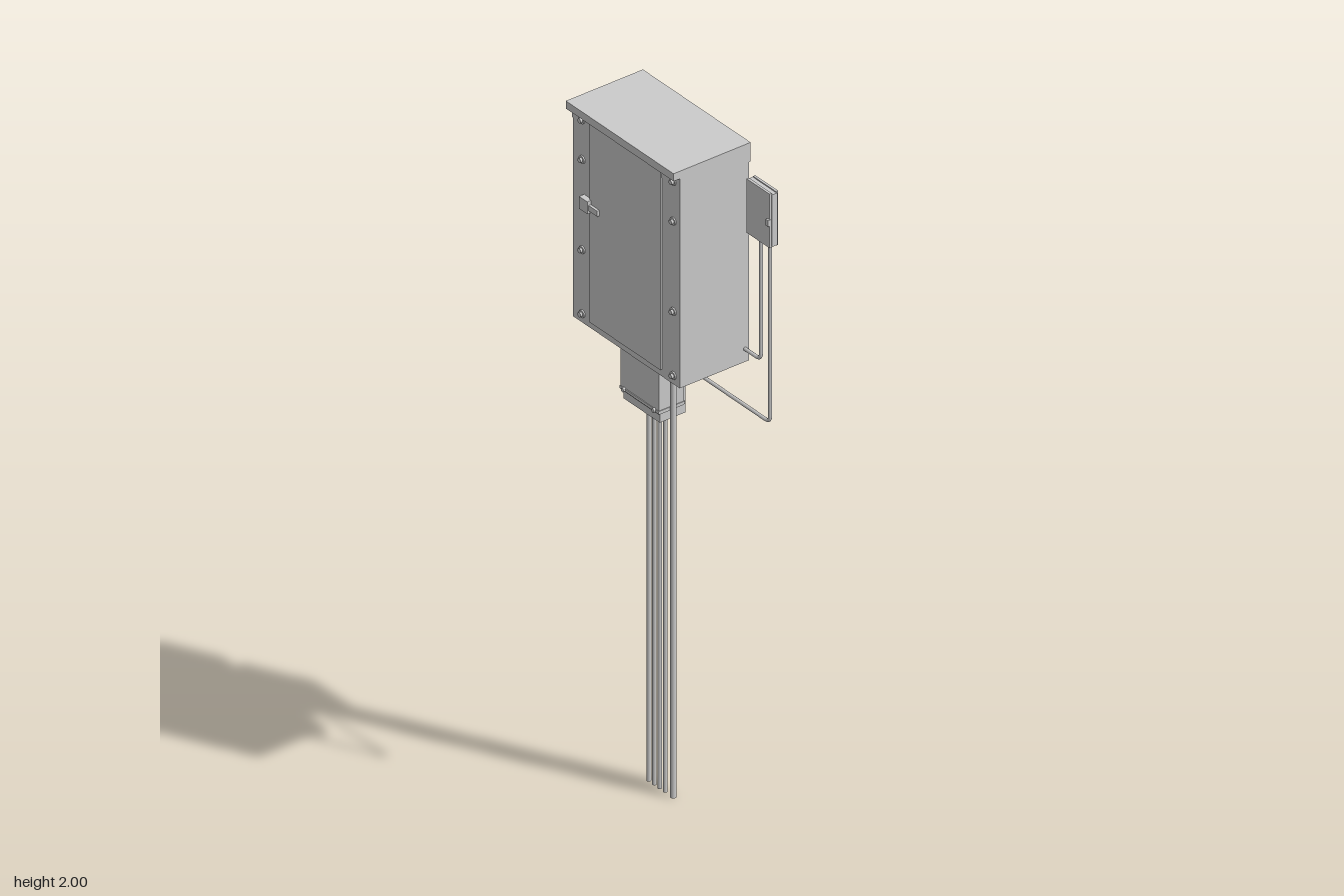
import * as THREE from 'three';

const grey = new THREE.MeshStandardMaterial({ color: 0xcccccc });

export function createModel() {
  const model = new THREE.Group();

  const add = (name, geometry, parent = model) => {
    const mesh = new THREE.Mesh(geometry, grey);
    mesh.name = name;
    parent.add(mesh);
    return mesh;
  };
  // Box given by its extents on each axis
  const box = (name, [x0, x1], [y0, y1], [z0, z1], parent) => {
    const mesh = add(name, new THREE.BoxGeometry(x1 - x0, y1 - y0, z1 - z0), parent);
    mesh.position.set((x0 + x1) / 2, (y0 + y1) / 2, (z0 + z1) / 2);
    return mesh;
  };
  // Short cylinder whose axis runs along z
  const bolt = (name, x, y, z, radius, depth, parent, sides = 12) => {
    const mesh = add(name, new THREE.CylinderGeometry(radius, radius, depth, sides), parent);
    mesh.rotation.x = Math.PI / 2;
    mesh.position.set(x, y, z);
    return mesh;
  };
  const group = (name) => {
    const g = new THREE.Group();
    g.name = name;
    model.add(g);
    return g;
  };

  // Main cabinet with an overhanging lid
  const cabinet = group('cabinet');
  box('cabinetBody', [-0.273, 0.157], [1.368, 1.946], [-0.117, 0.1], cabinet);
  box('lidSkirt', [-0.275, 0.159], [1.945, 1.985], [-0.12, 0.101], cabinet);
  box('lid', [-0.275, 0.159], [1.978, 2], [-0.12, 0.121], cabinet);

  // Door, its latch and the bolts down both sides
  box('door', [-0.2, 0.085], [1.388, 1.962], [0.098, 0.105], cabinet);
  box('latchPlate', [-0.228, -0.195], [1.708, 1.744], [0.098, 0.116], cabinet);
  box('latchHandle', [-0.2, -0.16], [1.716, 1.732], [0.104, 0.112], cabinet);
  for (const x of [-0.235, 0.132]) {
    for (const y of [1.957, 1.842, 1.58, 1.394]) {
      bolt('washer', x, y, 0.101, 0.011, 0.006, cabinet, 16);
      bolt('boltHead', x, y, 0.106, 0.007, 0.009, cabinet, 6);
    }
  }

  // Small switch box beside the cabinet
  const switchBox = group('switchBox');
  box('switchBack', [0.178, 0.27], [1.757, 1.914], [-0.12, -0.113], switchBox);
  box('switchBody', [0.176, 0.273], [1.76, 1.911], [-0.115, -0.099], switchBox);
  box('switchCover', [0.178, 0.27], [1.757, 1.914], [-0.1, -0.093], switchBox);
  box('switchLatch', [0.262, 0.272], [1.822, 1.84], [-0.095, -0.087], switchBox);

  // Junction box: flanged back case, raised cover and corner screws
  const junction = group('junctionBox');
  box('junctionCase', [-0.25, -0.104], [1.088, 1.32], [-0.12, -0.04], junction);
  box('junctionBand', [-0.254, -0.1], [1.115, 1.295], [-0.112, -0.034], junction);
  for (const y of [1.122, 1.288]) {
    box('junctionRim', [-0.256, -0.098], [y - 0.004, y + 0.004], [-0.114, -0.032], junction);
    for (const x of [-0.238, -0.116]) bolt('junctionScrew', x, y, -0.031, 0.006, 0.008, junction, 8);
  }

  // Conduits rising from the ground
  const conduits = group('conduits');
  const pipe = (name, x, radius, y0, y1) => {
    const mesh = add(name, new THREE.CylinderGeometry(radius, radius, y1 - y0, 16), conduits);
    mesh.position.set(x, (y0 + y1) / 2, -0.068);
  };
  for (const x of [-0.184, -0.162, -0.14, -0.118]) {
    pipe('lowerConduit', x, 0.006, 0, 1.1);
    pipe('upperConduit', x, 0.006, 1.31, 1.38);
  }
  pipe('sideConduit', -0.086, 0.008, 0, 1.38);

  // Cables dropping from the switch box and turning towards the centre
  const cable = (name, x, y, endX) => {
    const z = -0.104, r = 0.018;
    const v = (a, b) => new THREE.Vector3(a, b, z);
    const path = new THREE.CurvePath();
    path.add(new THREE.LineCurve3(v(x, 1.765), v(x, y + r)));
    path.add(new THREE.QuadraticBezierCurve3(v(x, y + r), v(x, y), v(x - r, y)));
    path.add(new THREE.LineCurve3(v(x - r, y), v(endX, y)));
    add(name, new THREE.TubeGeometry(path, 160, 0.005, 10));
  };
  cable('innerCable', 0.221, 1.406, 0.15);
  cable('outerCable', 0.258, 1.242, -0.11);

  return model;
}
